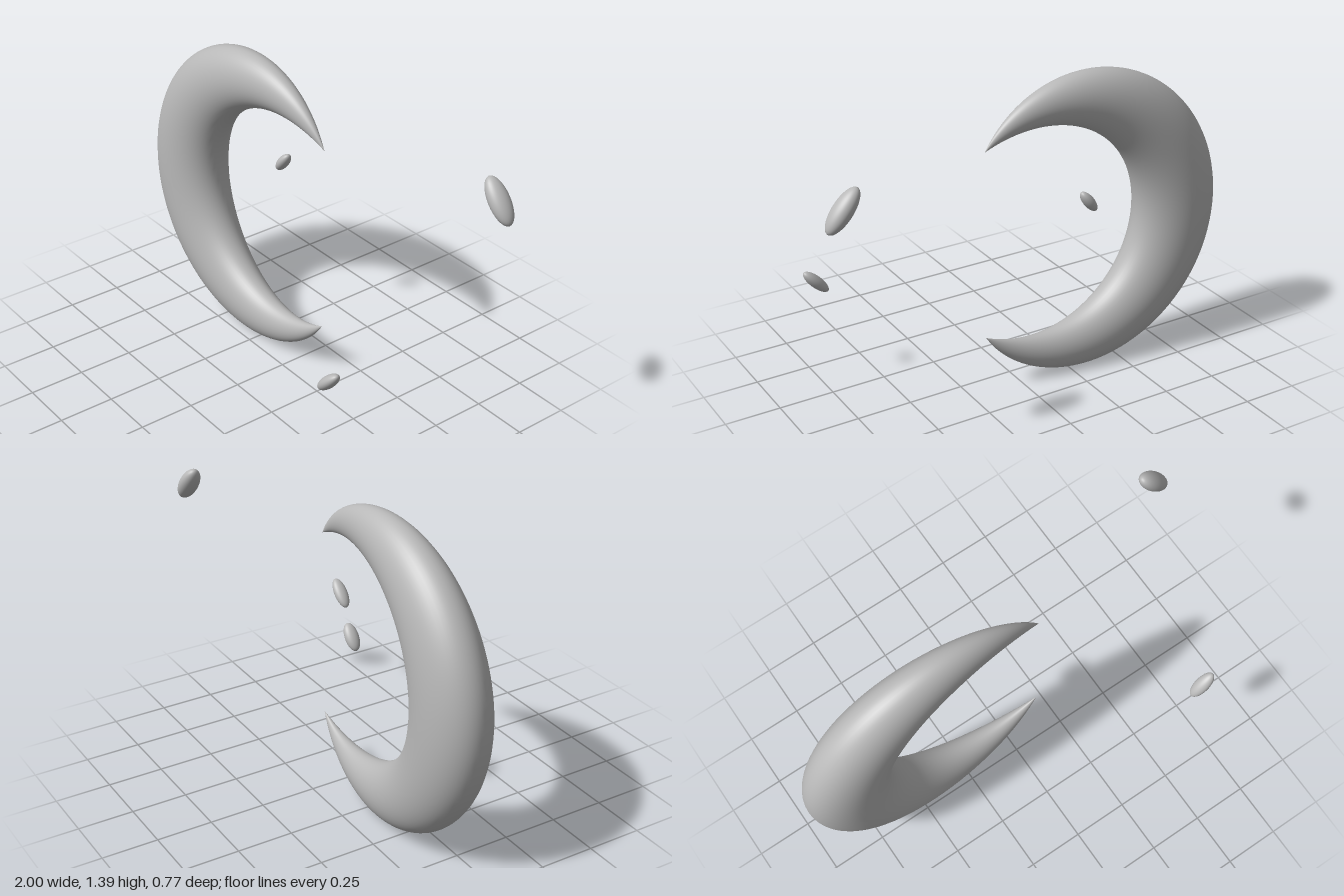
import * as THREE from 'three';

const stone = new THREE.MeshStandardMaterial({ color: 0xb8b8b8 });
stone.name = 'paleGrey';

// Crescent: oval sections swept along an arc, tapering to a point at both ends
function crescentGeometry() {
  const cx = -0.219, cy = 0.702, cz = -0.087, R = 0.581;
  const halfSweep = THREE.MathUtils.degToRad(132);
  const rings = 128, sides = 48;
  const positions = [], indices = [];
  for (let i = 0; i <= rings; i++) {
    const t = (i / rings) * 2 - 1;
    const angle = Math.PI + t * halfSweep;
    const taper = 1 - t * t;
    for (let j = 0; j < sides; j++) {
      const phi = (j / sides) * Math.PI * 2;
      const d = R + 0.199 * taper * Math.cos(phi);
      positions.push(
        cx + d * Math.cos(angle),
        cy + d * Math.sin(angle),
        cz + 0.146 * taper * Math.sin(phi)
      );
      if (i === rings) continue;
      const k = (j + 1) % sides;
      const a = i * sides + j, b = a + sides;
      const c = i * sides + k, e = c + sides;
      // the end rings collapse to points, so their empty triangles are left out
      if (i > 0) indices.push(a, b, c);
      if (i < rings - 1) indices.push(b, e, c);
      if (i === 0) indices.push(a, b, e);
      if (i === rings - 1) indices.pop(), indices.pop(), indices.pop(), indices.push(a, b, c);
    }
  }
  const g = new THREE.BufferGeometry();
  g.setAttribute('position', new THREE.Float32BufferAttribute(positions, 3));
  g.setIndex(indices.filter((_, n, all) => {
    // keep one clean triangle per side at the first tip
    const f = n - (n % 3);
    return !(all[f] < sides && all[f + 2] < sides);
  }));
  g.computeVertexNormals();
  return g;
}

// Floating pebbles: position, half sizes, tilt in degrees
const pebbles = [
  ['largePebble', [0.927, 1.154, -0.338], [0.105, 0.039, 0.047], 129],
  ['smallPebble', [-0.265, 0.861, -0.208], [0.06, 0.024, 0.03], 52.5],
  ['mediumPebble', [0.755, 0.505, 0.352], [0.0765, 0.026, 0.033], 46],
];

export function createModel() {
  const model = new THREE.Group();
  model.name = 'crescentWithPebbles';

  const crescent = new THREE.Mesh(crescentGeometry(), stone);
  crescent.name = 'crescent';
  model.add(crescent);

  const ball = new THREE.SphereGeometry(1, 40, 28);
  for (const [name, position, size, tilt] of pebbles) {
    const pebble = new THREE.Mesh(ball, stone);
    pebble.name = name;
    pebble.position.set(...position);
    pebble.scale.set(...size);
    pebble.rotation.z = THREE.MathUtils.degToRad(tilt);
    model.add(pebble);
  }
  return model;
}
